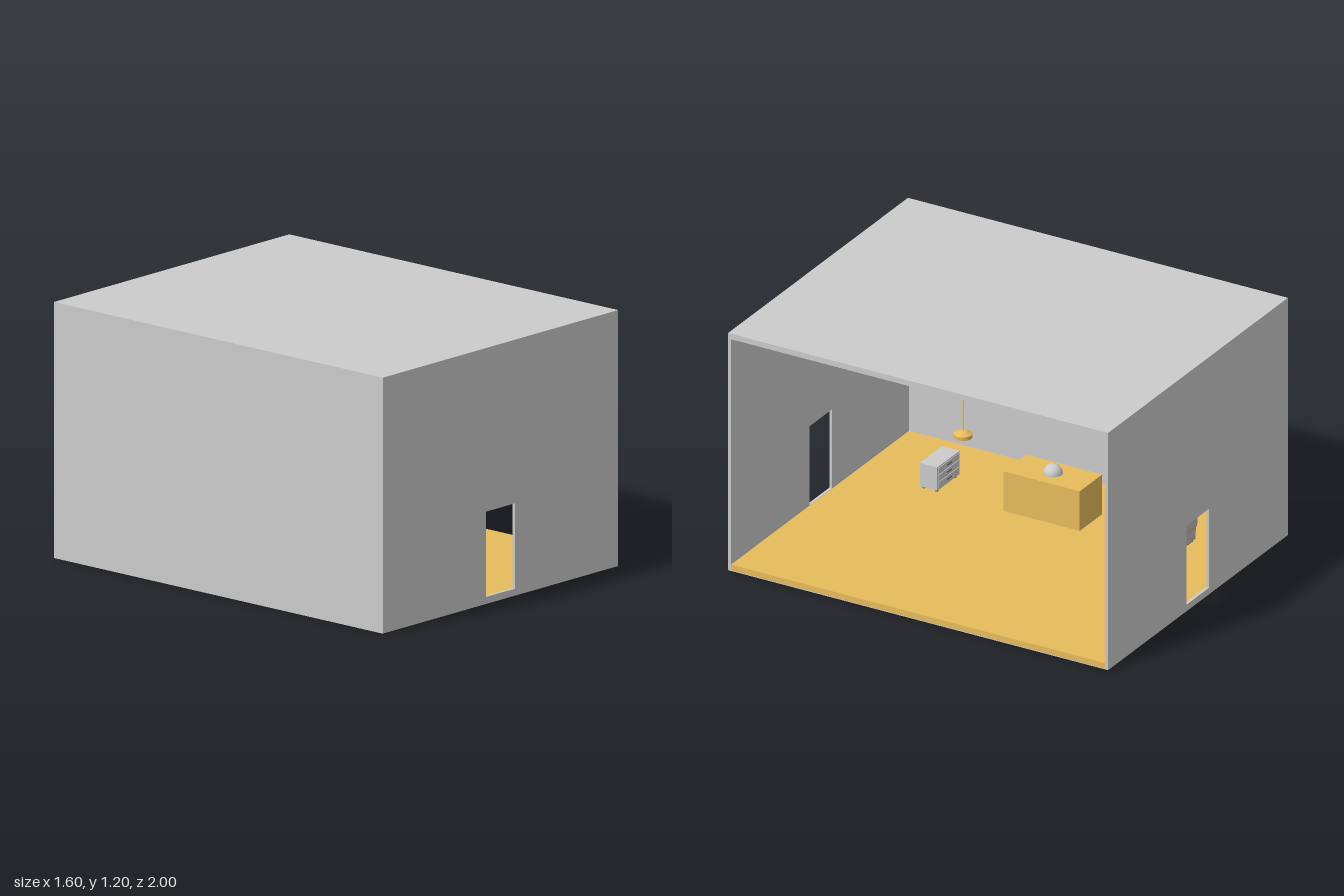
import * as THREE from 'three';

const mat = (color) => new THREE.MeshStandardMaterial({ color, flatShading: true, side: THREE.DoubleSide });
const grey = mat(0xcccccc), gold = mat(0xe6bc5c), dark = mat(0x666666), warm = mat(0xc4b6b2);

// Box given by its limits on each axis
function box(parent, name, material, [x0, x1], [y0, y1], [z0, z1]) {
  const m = new THREE.Mesh(new THREE.BoxGeometry(x1 - x0, y1 - y0, z1 - z0), material);
  m.position.set((x0 + x1) / 2, (y0 + y1) / 2, (z0 + z1) / 2);
  m.name = name;
  parent.add(m);
  return m;
}

function group(parent, name) {
  const g = new THREE.Group();
  g.name = name;
  parent.add(g);
  return g;
}

// End wall with a doorway cut out
function doorWall(parent, name, z) {
  const s = new THREE.Shape([[-0.8, 0], [0.8, 0], [0.8, 1.2], [-0.8, 1.2]].map(p => new THREE.Vector2(...p)));
  s.holes.push(new THREE.Path([[-0.1, 0.033], [-0.1, 0.433], [0.1, 0.433], [0.1, 0.033]].map(p => new THREE.Vector2(...p))));
  const m = new THREE.Mesh(new THREE.ExtrudeGeometry(s, { depth: 0.015, bevelEnabled: false }), grey);
  m.position.z = z;
  m.name = name;
  parent.add(m);
}

// Pendant lamp: ceiling cap, thin rod and open shade
function pendant(parent, x) {
  const g = group(parent, 'pendantLamp');
  g.position.x = x;
  const round = (name, r, y0, y1) => {
    const m = new THREE.Mesh(new THREE.CylinderGeometry(r, r, y1 - y0, 16), gold);
    m.position.y = (y0 + y1) / 2;
    m.name = name;
    g.add(m);
  };
  round('ceilingCap', 0.016, 1.165, 1.172);
  round('rod', 0.0022, 0.785, 1.168);
  const profile = [[0.001, 0.79], [0.018, 0.789], [0.044, 0.775], [0.044, 0.757], [0.039, 0.757], [0.039, 0.772], [0.016, 0.783], [0.001, 0.784]];
  const shade = new THREE.Mesh(new THREE.LatheGeometry(profile.map(p => new THREE.Vector2(...p)), 24), gold);
  shade.name = 'shade';
  g.add(shade);
}

// Small drawer cabinet on feet, drawers towards -z
function cabinet(parent) {
  const g = group(parent, 'cabinet');
  box(g, 'cabinetBody', grey, [-0.5, -0.3], [0.045, 0.163], [0.55, 0.642]);
  for (const x of [-0.48, -0.32]) for (const z of [0.564, 0.63])
    box(g, 'foot', dark, [x - 0.006, x + 0.006], [0.032, 0.046], [z - 0.006, z + 0.006]);
  for (let i = 0; i < 3; i++) {
    const y = 0.055 + i * 0.036;
    box(g, 'drawerFront', grey, [-0.493, -0.307], [y, y + 0.03], [0.547, 0.552]);
    box(g, 'drawerHandle', dark, [-0.42, -0.38], [y + 0.013, y + 0.018], [0.543, 0.548]);
  }
}

// Upright machine with a bulging face, dark hood and side vents
function machine(parent) {
  const g = group(parent, 'machine');
  const x0 = -0.48, x1 = -0.312;
  const outline = [[0.59, 0.043], [0.703, 0.043], [0.705, 0.1], [0.712, 0.115], [0.714, 0.175], [0.726, 0.21], [0.705, 0.245], [0.59, 0.245]];
  const s = new THREE.Shape(outline.map(p => new THREE.Vector2(...p)));
  const body = new THREE.Mesh(new THREE.ExtrudeGeometry(s, { depth: x1 - x0, bevelEnabled: false }), warm);
  body.rotation.y = Math.PI / 2;
  body.position.x = x0;
  body.name = 'machineBody';
  g.add(body);
  for (let i = 0; i < 3; i++)
    box(g, 'hoodLayer', dark, [x0 - 0.003, x1 + 0.003 - (i % 2) * 0.004], [0.245 + i * 0.0115, 0.2565 + i * 0.0115], [-0.706, -0.588]);
  for (const [a, b] of [[x1, x1 + 0.003], [x0 - 0.003, x0]]) {
    box(g, 'ventPanel', dark, [a, b], [0.157, 0.243], [-0.69, -0.602]);
    for (let i = 0; i < 4; i++)
      box(g, 'ventSlat', dark, [a - 0.002, b + 0.002], [0.172 + i * 0.017, 0.179 + i * 0.017], [-0.682, -0.61]);
  }
  box(g, 'machineBase', dark, [x0 + 0.01, x1 - 0.01], [0.032, 0.044], [-0.695, -0.6]);
}

export function createModel() {
  const model = new THREE.Group();
  model.name = 'room';

  // Shell, open on the right side
  doorWall(model, 'frontWall', 0.985);
  doorWall(model, 'backWall', -1);
  box(model, 'leftWall', grey, [-0.8, -0.785], [0, 1.2], [-0.985, 0.985]);
  box(model, 'ceiling', grey, [-0.785, 0.8], [1.172, 1.2], [-0.985, 0.985]);
  box(model, 'base', grey, [-0.785, 0.8], [0, 0.004], [-0.985, 0.985]);
  box(model, 'floor', gold, [-0.785, 0.8], [0.004, 0.032], [-0.985, 0.985]);

  // Counter with back panel and a dome on top
  const counter = group(model, 'counter');
  box(counter, 'counterBody', gold, [-0.5, -0.3], [0.032, 0.232], [-0.2, 0.2]);
  box(counter, 'backPanel', grey, [-0.785, -0.765], [0.032, 0.433], [-0.2, 0.2]);
  const dome = new THREE.Mesh(new THREE.SphereGeometry(0.045, 24, 10, 0, Math.PI * 2, 0, Math.PI / 2),
    new THREE.MeshStandardMaterial({ color: 0xcccccc, side: THREE.DoubleSide }));
  dome.position.set(-0.4, 0.232, 0);
  dome.name = 'dome';
  counter.add(dome);

  cabinet(model);
  machine(model);
  for (const x of [-0.4, 0, 0.4]) pendant(model, x);
  return model;
}
